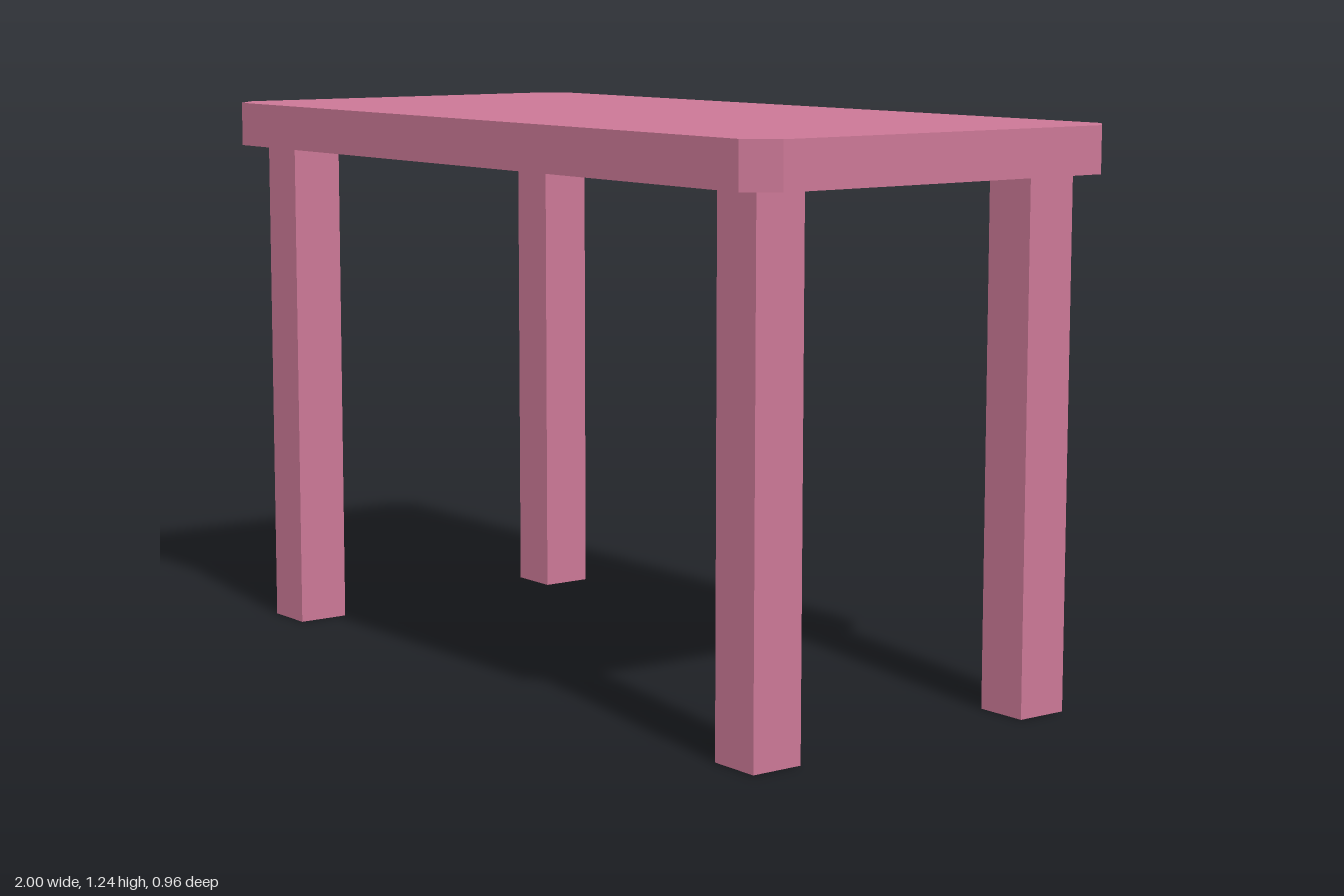
import * as THREE from 'three';

export function createModel() {
  const table = new THREE.Group();
  table.name = 'table';
  const rosePink = new THREE.MeshStandardMaterial({ color: 0xcb7896 });
  rosePink.name = 'rosePink';

  const legHeight = 1.14, legWidth = 0.12, topThickness = 0.1;
  const halfX = 1, halfZ = 0.48, chamfer = 0.06;

  // Table top: slab with cut corners
  const outline = new THREE.Shape([
    [halfX - chamfer, -halfZ], [halfX, -halfZ + chamfer],
    [halfX, halfZ - chamfer], [halfX - chamfer, halfZ],
    [-halfX + chamfer, halfZ], [-halfX, halfZ - chamfer],
    [-halfX, -halfZ + chamfer], [-halfX + chamfer, -halfZ],
  ].map(([x, y]) => new THREE.Vector2(x, y)));
  const topGeometry = new THREE.ExtrudeGeometry(outline, { depth: topThickness, bevelEnabled: false });
  topGeometry.rotateX(-Math.PI / 2);
  const top = new THREE.Mesh(topGeometry, rosePink);
  top.name = 'tableTop';
  top.position.y = legHeight;
  table.add(top);

  // Four square legs
  const legGeometry = new THREE.BoxGeometry(legWidth, legHeight, legWidth);
  for (const [xName, x] of [['Left', 0.86], ['Right', -0.86]]) {
    for (const [zName, z] of [['front', 0.36], ['back', -0.36]]) {
      const leg = new THREE.Mesh(legGeometry, rosePink);
      leg.name = `${zName}${xName}Leg`;
      leg.position.set(x, legHeight / 2, z);
      table.add(leg);
    }
  }
  return table;
}
